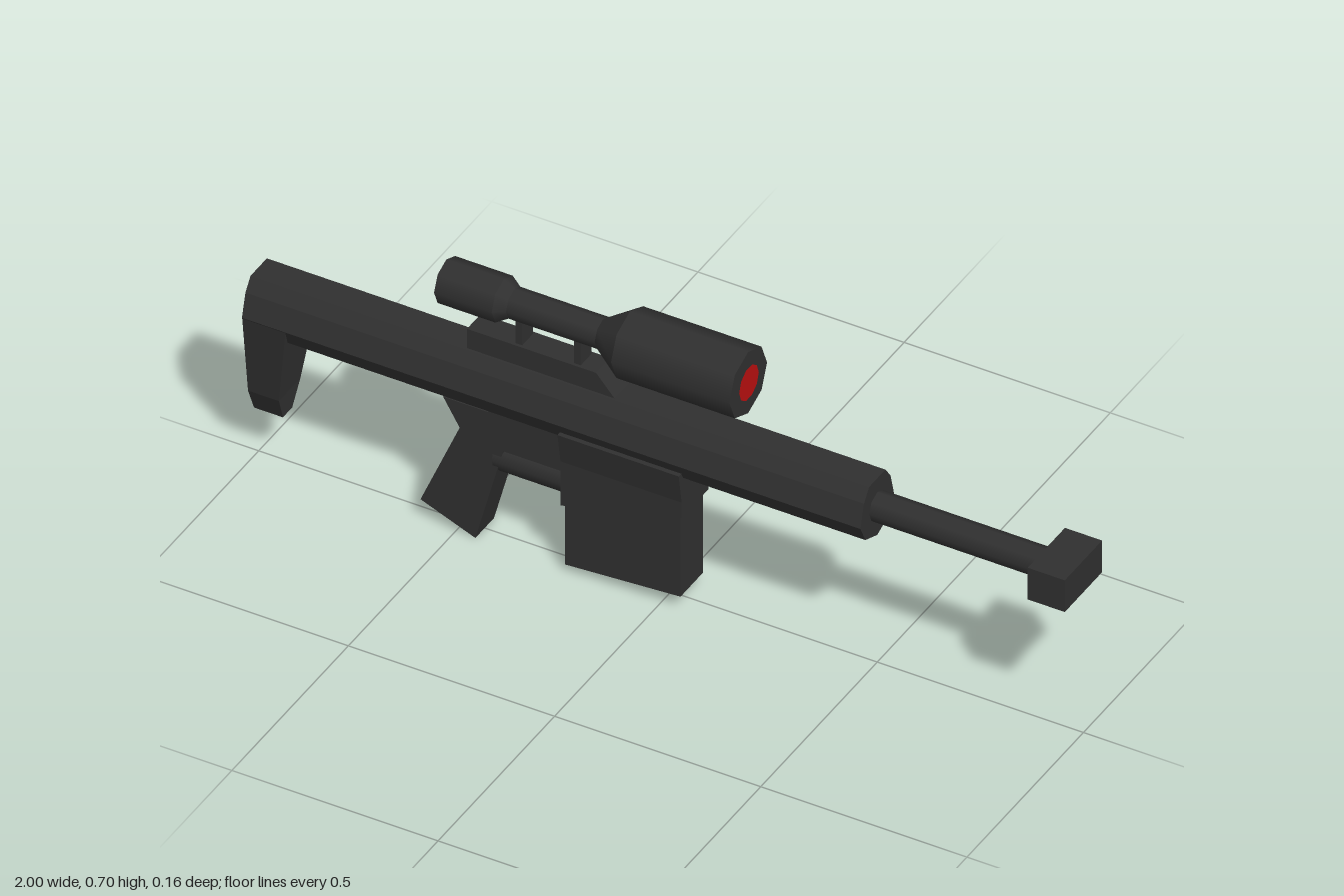
import * as THREE from 'three';

const gunmetal = new THREE.MeshStandardMaterial({ color: 0x303030, flatShading: true });
gunmetal.name = 'gunmetal';
const smoothMetal = new THREE.MeshStandardMaterial({ color: 0x303030 });
smoothMetal.name = 'smooth gunmetal';
const lensRed = new THREE.MeshStandardMaterial({ color: 0xb80f0f });
lensRed.name = 'lens red';

export function createModel() {
  const root = new THREE.Group();
  root.name = 'rifle';

  function add(name, geometry, material = gunmetal, parent = root) {
    const mesh = new THREE.Mesh(geometry, material);
    mesh.name = name;
    parent.add(mesh);
    return mesh;
  }

  // Side outline in x/y; halfWidth(y) gives the half thickness in z
  function slab(name, points, halfWidth, parent) {
    const shape = new THREE.Shape(points.map(([x, y]) => new THREE.Vector2(x, y)));
    const geo = new THREE.ExtrudeGeometry(shape, { depth: 2, bevelEnabled: false });
    const p = geo.attributes.position;
    for (let i = 0; i < p.count; i++) p.setZ(i, (p.getZ(i) - 1) * halfWidth(p.getY(i)));
    geo.computeVertexNormals();
    return add(name, geo, gunmetal, parent);
  }
  const flat = (w) => () => w;
  const taper = (y0, w0, y1, w1) => (y) => w0 + ((w1 - w0) * (y - y0)) / (y1 - y0);

  // Tube along x from x0 (radius r0) to x1 (radius r1)
  function tube(name, x0, x1, r0, r1, y, sides = 8, open = false, parent = root) {
    const geo = new THREE.CylinderGeometry(r1, r0, x1 - x0, sides, 1, open);
    geo.rotateZ(-Math.PI / 2);
    geo.translate((x0 + x1) / 2, y, 0);
    return add(name, geo, smoothMetal, parent);
  }

  // Receiver: faceted section with a flat top and a shallow keel
  const half = [[0.035, 0.487], [0.057, 0.457], [0.072, 0.4], [0.051, 0.357]];
  const section = [[0, 0.337], ...half.slice().reverse(), ...half.map(([z, y]) => [-z, y])];
  const receiver = new THREE.ExtrudeGeometry(
    new THREE.Shape(section.map(([z, y]) => new THREE.Vector2(z, y))),
    { depth: 1.5, bevelEnabled: false });
  receiver.rotateY(Math.PI / 2);
  receiver.translate(-1, 0, 0);
  add('receiver', receiver);

  // Stock: drops behind the receiver and narrows to its toe
  const stock = new THREE.Group();
  stock.name = 'stock';
  root.add(stock);
  slab('stockUpper', [[-1, 0.4], [-1, 0.19], [-0.925, 0.19], [-0.895, 0.4]],
    taper(0.4, 0.071, 0.19, 0.046), stock);
  slab('stockToe', [[-1, 0.19], [-1, 0.128], [-0.93, 0.128], [-0.925, 0.19]],
    taper(0.19, 0.046, 0.128, 0.02), stock);

  // Barrel and square muzzle block
  tube('barrel', 0.49, 0.92, 0.035, 0.035, 0.415);
  const muzzle = new THREE.BoxGeometry(0.09, 0.084, 0.16);
  muzzle.translate(0.955, 0.414, 0);
  add('muzzle', muzzle);

  // Magazine well and magazine
  slab('magazineWellTop', [[-0.236, 0.373], [-0.236, 0.295], [0.058, 0.295], [0.058, 0.373]],
    taper(0.373, 0.07, 0.295, 0.057));
  slab('magazineWell', [[-0.236, 0.295], [-0.236, 0.178], [0.058, 0.255], [0.058, 0.295]],
    flat(0.057));
  slab('magazine', [[-0.23, 0.27], [-0.23, 0.018], [0.05, 0.037], [0.05, 0.28]], flat(0.048));

  // Grip and trigger housing
  slab('grip', [[-0.53, 0.345], [-0.49, 0.278], [-0.585, 0.053], [-0.452, 0],
    [-0.382, 0.265], [-0.36, 0.345]], flat(0.04));
  slab('triggerHousing', [[-0.42, 0.35], [-0.42, 0.255], [-0.22, 0.255], [-0.22, 0.35]], flat(0.04));
  tube('triggerGuard', -0.41, -0.2, 0.044, 0.044, 0.223, 12);

  // Rail and scope posts
  slab('scopeRail', [[-0.478, 0.48], [-0.114, 0.48], [-0.165, 0.538], [-0.478, 0.538]], flat(0.03));
  for (const x of [-0.356, -0.214]) {
    const post = new THREE.BoxGeometry(0.016, 0.08, 0.046);
    post.translate(x, 0.57, 0);
    add('scopePost', post);
  }

  // Scope: octagonal tube in stages, [x, radius]
  const scope = new THREE.Group();
  scope.name = 'scope';
  root.add(scope);
  const stages = [[-0.545, 0.053], [-0.405, 0.053], [-0.38, 0.036], [-0.165, 0.036],
    [-0.1, 0.081], [0.187, 0.081]];
  for (let i = 0; i < stages.length - 1; i++) {
    const [x0, r0] = stages[i], [x1, r1] = stages[i + 1];
    const open = i > 0 && i < stages.length - 2;
    tube('scopeTube', x0, x1, r0, r1, 0.624, 8, open, scope);
  }
  // Lenses at both ends
  for (const [name, x, r, dir] of [['frontLens', 0.189, 0.042, 1], ['rearLens', -0.547, 0.03, -1]]) {
    const lens = add(name, new THREE.CircleGeometry(r, 10), lensRed, scope);
    lens.rotation.y = (dir * Math.PI) / 2;
    lens.position.set(x, 0.624, 0);
  }
  return root;
}
